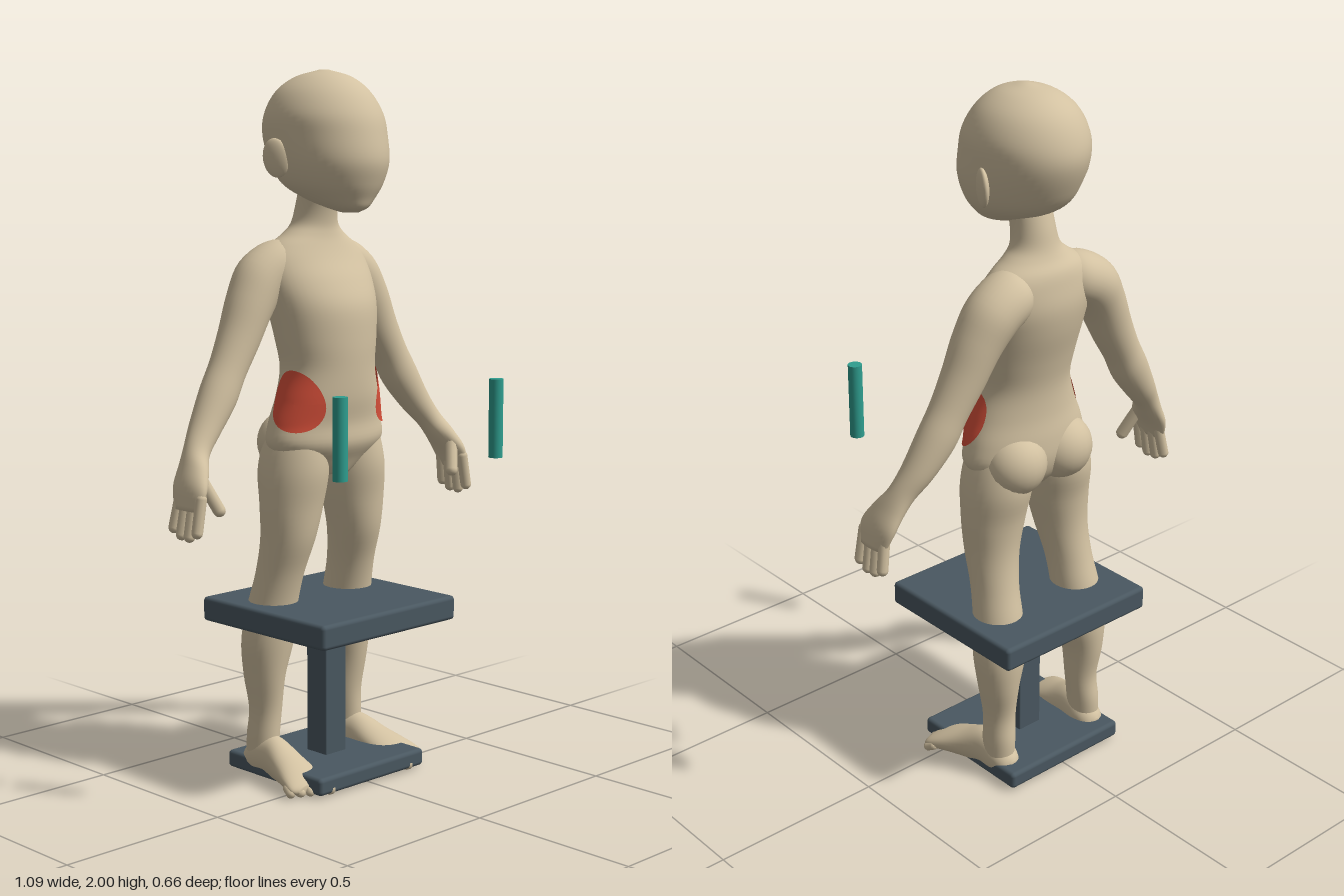
import * as THREE from 'three';
import { RoundedBoxGeometry } from 'three/addons/geometries/RoundedBoxGeometry.js';

const paint = (name, color) => {
  const m = new THREE.MeshStandardMaterial({ color });
  m.name = name;
  return m;
};

// A ring is [x, y, z, halfWidth, halfDepth, tilt in degrees about z].
// Returns a smooth surface function (t in 0..1 along the rings, angle, outward offset).
function surface(rings) {
  const curve = (f) => new THREE.CatmullRomCurve3(rings.map(f), false, 'catmullrom', 0.5);
  const centre = curve((r) => new THREE.Vector3(r[0], r[1], r[2]));
  const size = curve((r) => new THREE.Vector3(r[3], r[4], THREE.MathUtils.degToRad(r[5] || 0)));
  return (t, angle, off = 0) => {
    const p = centre.getPoint(t), s = size.getPoint(t);
    const u = (Math.max(s.x, 0.001) + off) * Math.cos(angle);
    const v = (Math.max(s.y, 0.001) + off) * Math.sin(angle);
    return new THREE.Vector3(p.x + u * Math.cos(s.z), p.y + u * Math.sin(s.z), p.z + v);
  };
}

// Closed smooth skin through rings listed from bottom to top
function loft(rings, sides = 32, sub = 5) {
  const at = surface(rings), rows = (rings.length - 1) * sub, pos = [], idx = [];
  for (let i = 0; i <= rows; i++)
    for (let j = 0; j < sides; j++) pos.push(...at(i / rows, (j / sides) * Math.PI * 2).toArray());
  const bottom = pos.length / 3, top = bottom + 1;
  pos.push(...rings[0].slice(0, 3), ...rings[rings.length - 1].slice(0, 3));
  for (let j = 0; j < sides; j++) {
    const k = (j + 1) % sides;
    for (let i = 0; i < rows; i++) {
      const a = i * sides + j, b = a + sides, c = i * sides + k, d = c + sides;
      idx.push(a, b, c, c, b, d);
    }
    idx.push(bottom, j, k, top, rows * sides + k, rows * sides + j);
  }
  const g = new THREE.BufferGeometry();
  g.setAttribute('position', new THREE.Float32BufferAttribute(pos, 3));
  g.setIndex(idx);
  g.computeVertexNormals();
  return g;
}

const torsoRings = [
  [0, 0.88, -0.1, 0.07, 0.07], [0, 0.92, -0.105, 0.15, 0.095], [0, 0.97, -0.1, 0.198, 0.115],
  [0, 1.03, -0.1, 0.19, 0.114], [0, 1.1, -0.09, 0.168, 0.115], [0, 1.18, -0.088, 0.148, 0.117],
  [0, 1.26, -0.095, 0.158, 0.125], [0, 1.35, -0.11, 0.172, 0.133], [0, 1.42, -0.13, 0.182, 0.122],
  [0, 1.48, -0.145, 0.175, 0.1], [0, 1.52, -0.15, 0.145, 0.085], [0, 1.55, -0.145, 0.1, 0.07],
  [0, 1.58, -0.14, 0.07, 0.062], [0, 1.63, -0.13, 0.06, 0.06], [0, 1.7, -0.11, 0.06, 0.06],
];
const headRings = [
  [0, 1.612, 0, 0.02, 0.03], [0, 1.625, -0.01, 0.055, 0.062], [0, 1.65, -0.04, 0.092, 0.105],
  [0, 1.69, -0.068, 0.13, 0.152], [0, 1.75, -0.08, 0.152, 0.18], [0, 1.82, -0.097, 0.16, 0.187],
  [0, 1.88, -0.102, 0.157, 0.174], [0, 1.94, -0.105, 0.126, 0.138], [0, 1.98, -0.103, 0.075, 0.085],
  [0, 2.0, -0.1, 0.012, 0.014],
];
const armRings = [
  [0.522, 0.835, -0.085, 0.015, 0.05, 10], [0.507, 0.89, -0.09, 0.026, 0.064, 22],
  [0.48, 0.94, -0.105, 0.032, 0.053, 30], [0.452, 0.985, -0.125, 0.036, 0.04, 32],
  [0.41, 1.04, -0.14, 0.045, 0.045, 32], [0.355, 1.12, -0.15, 0.056, 0.052, 33],
  [0.315, 1.19, -0.155, 0.055, 0.053, 33], [0.27, 1.27, -0.16, 0.061, 0.06, 32],
  [0.225, 1.36, -0.165, 0.068, 0.07, 35], [0.175, 1.43, -0.17, 0.075, 0.078, 48],
  [0.1, 1.47, -0.165, 0.07, 0.075, 70], [0.04, 1.48, -0.16, 0.03, 0.03, 80],
];
const legRings = [
  [0.168, 0.05, -0.185, 0.042, 0.05], [0.165, 0.12, -0.185, 0.043, 0.052], [0.16, 0.2, -0.18, 0.045, 0.05],
  [0.163, 0.3, -0.18, 0.056, 0.065], [0.155, 0.4, -0.175, 0.075, 0.075], [0.148, 0.5, -0.162, 0.07, 0.073],
  [0.14, 0.6, -0.138, 0.067, 0.071], [0.13, 0.7, -0.115, 0.076, 0.08], [0.12, 0.8, -0.11, 0.091, 0.09],
  [0.11, 0.9, -0.112, 0.096, 0.105], [0.1, 1.0, -0.11, 0.078, 0.09], [0.09, 1.06, -0.11, 0.04, 0.06],
];
// Foot rings run from heel to toes: [x, z, height of centre, halfWidth, halfHeight]
const footRings = [
  [0.165, -0.25, 0.045, 0.012, 0.018], [0.165, -0.235, 0.046, 0.034, 0.038], [0.165, -0.19, 0.06, 0.047, 0.057],
  [0.168, -0.13, 0.065, 0.047, 0.061], [0.178, -0.06, 0.05, 0.058, 0.046], [0.19, 0, 0.036, 0.067, 0.032],
  [0.195, 0.035, 0.026, 0.066, 0.022], [0.195, 0.05, 0.022, 0.045, 0.014],
];

export function createModel() {
  const group = new THREE.Group();
  const skin = paint('skin', 0xd2c1a1), slate = paint('slate', 0x4a5861);
  const teal = paint('teal', 0x2f9e8f), red = paint('red', 0xd8503a);
  red.side = THREE.DoubleSide;
  const add = (name, geometry, material, x = 0, y = 0, z = 0) => {
    const m = new THREE.Mesh(geometry, material);
    m.name = name;
    m.position.set(x, y, z);
    group.add(m);
    return m;
  };
  // Rounded finger or toe between two points
  const digit = (name, a, b, r) => {
    const from = new THREE.Vector3(...a), dir = new THREE.Vector3(...b).sub(from);
    const m = add(name, new THREE.CapsuleGeometry(r, dir.length(), 5, 10), skin);
    m.position.copy(from).addScaledVector(dir, 0.5);
    m.quaternion.setFromUnitVectors(new THREE.Vector3(0, 1, 0), dir.normalize());
  };
  const ball = (name, x, y, z, sx, sy, sz) => {
    const m = add(name, new THREE.SphereGeometry(1, 24, 16), skin, x, y, z);
    m.scale.set(sx, sy, sz);
    return m;
  };

  // Torso with neck, and head
  add('torso', loft(torsoRings, 48), skin);
  add('head', loft(headRings, 48), skin);

  const torsoAt = surface(torsoRings), last = torsoRings.length - 1;
  for (const s of [1, -1]) {
    const side = s > 0 ? 'left' : 'right';
    const mirror = (rings) => rings.map(([x, y, z, a, b, t = 0]) => [s * x, y, z, a, b, s * t]);
    add(side + 'Arm', loft(mirror(armRings)), skin);
    add(side + 'Leg', loft(mirror(legRings)), skin);
    add(side + 'Foot', loft(footRings.map(([x, z, y, a, b]) => [s * x, z, -y, a, b])).rotateX(Math.PI / 2), skin);
    ball(side + 'Buttock', s * 0.085, 0.965, -0.158, 0.092, 0.092, 0.088);
    ball(side + 'Ear', s * 0.163, 1.76, -0.12, 0.015, 0.054, 0.038).rotation.set(-0.15, s * -0.45, s * -0.12);

    // Fingers and thumb
    [-0.132, -0.101, -0.069, -0.037].forEach((z, i) => {
      const tip = [0.785, 0.77, 0.768, 0.782][i];
      digit(side + 'Finger', [s * 0.512, 0.87, z * 0.9 - 0.005], [s * 0.528, tip, z], 0.016);
    });
    digit(side + 'Thumb', [s * 0.487, 0.91, -0.06], [s * 0.457, 0.835, -0.03], 0.018);

    // Toes, the big one on the inside
    for (let i = 0; i < 5; i++) {
      const x = s * (0.15 + 0.025 * i), r = i ? 0.014 : 0.019;
      digit(side + 'Toe', [x, 0.026, 0.01], [x + s * 0.005, r + 0.003, 0.079 - 0.013 * i], r);
    }

    // Painted hip patch, a disc wrapped on the torso surface
    const disc = new THREE.RingGeometry(0.001, 1, 40, 10), p = disc.attributes.position;
    for (let i = 0; i < p.count; i++) {
      const u = p.getX(i), v = p.getY(i);
      const angle = THREE.MathUtils.degToRad(20 + 36 * u - 12 * v);
      const q = torsoAt((3.85 + 1.15 * v) / last, s > 0 ? angle : Math.PI - angle, 0.005);
      p.setXYZ(i, q.x, q.y, q.z);
    }
    // Keep the winding facing outward on both sides
    if (s > 0) {
      const ix = disc.index.array;
      for (let i = 0; i < ix.length; i += 3) [ix[i], ix[i + 1]] = [ix[i + 1], ix[i]];
    }
    disc.computeVertexNormals();
    add(side + 'HipPatch', disc, red);
  }

  // Stand: table plate, post and base
  add('tablePlate', new RoundedBoxGeometry(0.525, 0.07, 0.5, 3, 0.012), slate, 0, 0.482, -0.083);
  add('post', new RoundedBoxGeometry(0.08, 0.42, 0.08, 2, 0.004), slate, 0, 0.25, -0.095);
  add('basePlate', new RoundedBoxGeometry(0.415, 0.05, 0.39, 3, 0.012), slate, 0, 0.035, -0.098);

  // Floating hand grips
  add('rightGrip', new THREE.CylinderGeometry(0.02, 0.02, 0.22, 32), teal, -0.31, 1.045, 0.28);
  add('leftGrip', new THREE.CylinderGeometry(0.02, 0.02, 0.22, 32), teal, 0.265, 1.045, 0.31);
  return group;
}
